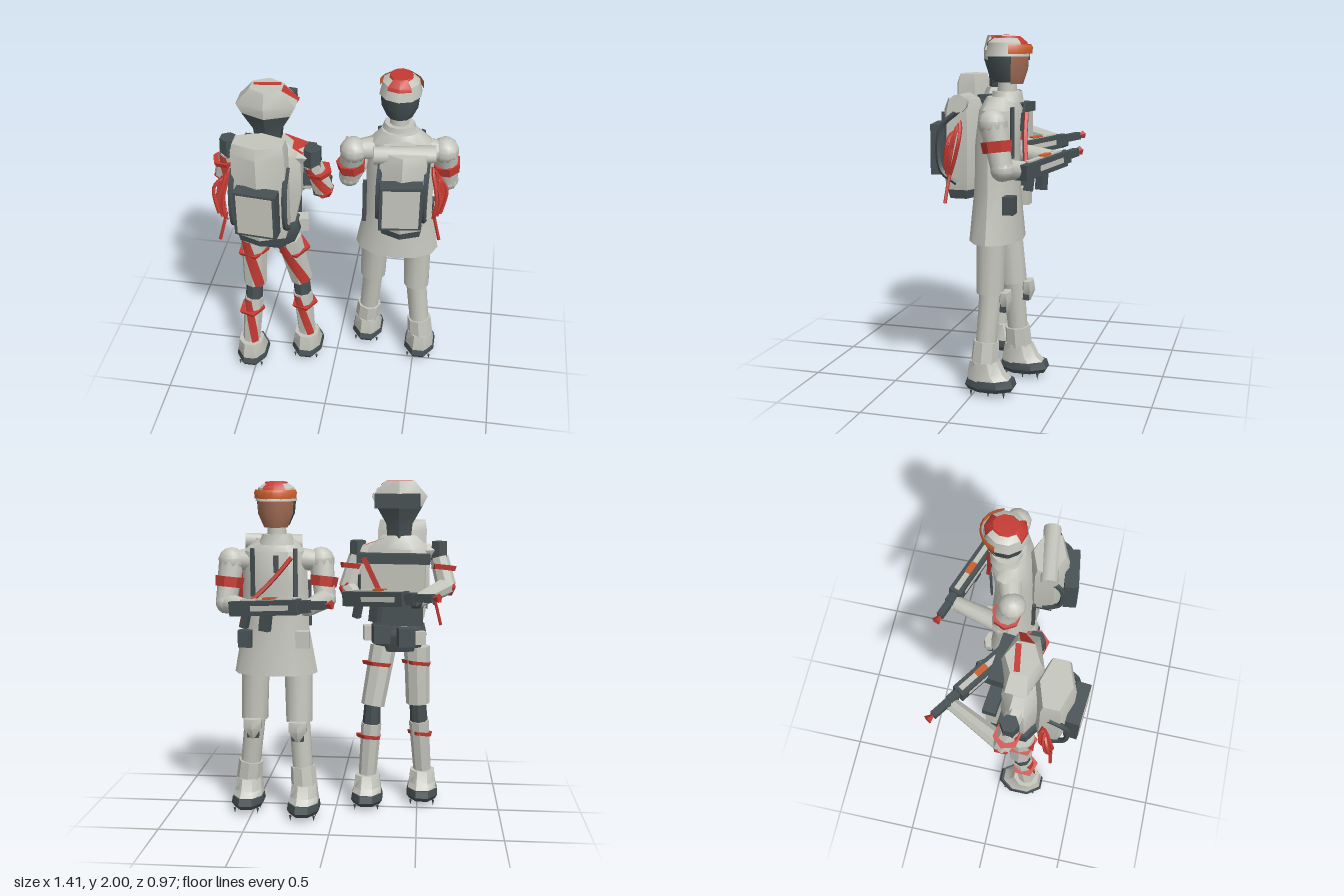
import * as THREE from 'three';
import { toCreasedNormals } from 'three/addons/utils/BufferGeometryUtils.js';

const mat = (name, color, side = THREE.FrontSide) => {
  const m = new THREE.MeshStandardMaterial({ color, side });
  m.name = name;
  return m;
};

export function createModel() {
  const light = mat('pale cloth', 0xc4c5bc), dark = mat('dark slate', 0x465053);
  const red = mat('red trim', 0xc43b33, THREE.DoubleSide);
  const orange = mat('orange lens', 0xcb6030, THREE.DoubleSide), skin = mat('skin', 0xa66e57, THREE.DoubleSide);
  const V = (p) => new THREE.Vector3(...p);

  const add = (parent, name, geo, material, pos = [0, 0, 0], rot = [0, 0, 0]) => {
    const m = new THREE.Mesh(toCreasedNormals(geo, 0.7), material);
    m.name = name;
    m.position.set(...pos);
    m.rotation.set(...rot);
    parent.add(m);
    return m;
  };
  const box = (parent, name, material, size, pos, rot) =>
    add(parent, name, new THREE.BoxGeometry(...size), material, pos, rot);

  // Stacked rings from top to bottom: [y, radiusX, radiusZ, shiftX, shiftZ]
  const loft = (parent, name, material, rings, sides, [cx, cz], start = 0, span = Math.PI * 2) => {
    const n = rings.length - 1;
    const g = new THREE.CylinderGeometry(1, 1, 1, sides, n, span < 6, start, span);
    const p = g.attributes.position;
    for (let i = 0; i < p.count; i++) {
      const [y, rx, rz, dx = 0, dz = 0] = rings[Math.round((0.5 - p.getY(i)) * n)];
      p.setXYZ(i, p.getX(i) * rx + cx + dx, y, p.getZ(i) * rz + cz + dz);
    }
    return add(parent, name, g, material);
  };

  // Tapered cylinder running from top point a to bottom point b, with an optional winding stripe
  const limb = (parent, name, material, a, b, ra, rb, sides = 10, stripe = false) => {
    const A = V(a), B = V(b), h = A.distanceTo(B);
    const place = (m) => {
      m.position.copy(A).add(B).multiplyScalar(0.5);
      m.quaternion.setFromUnitVectors(new THREE.Vector3(0, 1, 0), A.clone().sub(B).normalize());
    };
    place(add(parent, name, new THREE.CylinderGeometry(ra, rb, h, sides), material));
    if (!stripe) return;
    const g = new THREE.CylinderGeometry(ra + 0.004, rb + 0.004, h * 0.96, 3, 6, true, -0.35, 0.85);
    const p = g.attributes.position;
    for (let i = 0; i < p.count; i++) {
      const t = -p.getY(i) / h * 1.2, x = p.getX(i), z = p.getZ(i);
      p.setX(i, x * Math.cos(t) + z * Math.sin(t));
      p.setZ(i, z * Math.cos(t) - x * Math.sin(t));
    }
    place(add(parent, name + 'Stripe', g, red));
  };
  const tube = (parent, name, material, pts, r, closed = false) =>
    add(parent, name, new THREE.TubeGeometry(new THREE.CatmullRomCurve3(pts.map(V), closed), 18, r, 5, closed), material);
  const quad = (parent, name, material, pts) => {
    const g = new THREE.BufferGeometry().setFromPoints([0, 1, 2, 0, 2, 3].map((i) => V(pts[i])));
    g.computeVertexNormals();
    return add(parent, name, g, material);
  };
  // Faceted strap ring around a limb
  const band = (parent, name, pos, r, h, sides = 6, tilt = 0.1) =>
    add(parent, name, new THREE.CylinderGeometry(r, r * 0.92, h, sides), red, pos, [tilt, 0.3, tilt]);

  // Boot with dark sole and small spikes, toe toward -z
  const boot = (parent, x, z) => {
    const g = new THREE.Group();
    g.name = 'boot';
    parent.add(g);
    loft(g, 'bootUpper', light, [[0.2, 0.08, 0.085], [0.13, 0.088, 0.11, 0, -0.01], [0.085, 0.098, 0.14, 0, -0.035]], 8, [x, z], Math.PI / 8);
    loft(g, 'sole', dark, [[0.1, 0.097, 0.138, 0, -0.035], [0.06, 0.104, 0.152, 0, -0.035], [0.035, 0.088, 0.135, 0, -0.035]], 8, [x, z], Math.PI / 8);
    for (const sx of [-1, 1]) for (const dz of [-0.13, -0.04, 0.06])
      add(g, 'spike', new THREE.ConeGeometry(0.008, 0.035, 4), dark, [x + sx * 0.07, 0.022, z + dz], [Math.PI, 0, 0]);
  };

  // Rifle running from stock to muzzle
  const rifle = (parent, stock, tip) => {
    const g = new THREE.Group();
    g.name = 'rifle';
    const L = V(stock).distanceTo(V(tip));
    box(g, 'receiver', dark, [0.08, 0.085, 0.43], [0, 0, 0.205]);
    box(g, 'topCover', light, [0.03, 0.012, 0.34], [0, 0.045, 0.23]);
    box(g, 'handguard', light, [0.086, 0.03, 0.24], [0, 0, 0.25]);
    box(g, 'magazine', dark, [0.045, 0.11, 0.06], [0, -0.08, 0.2], [0.2, 0, 0]);
    box(g, 'grip', dark, [0.04, 0.09, 0.04], [0, -0.07, 0.07], [0.3, 0, 0]);
    box(g, 'sight', orange, [0.035, 0.012, 0.08], [0, 0.052, 0.24]);
    box(g, 'barrel', dark, [0.04, 0.045, L - 0.44], [0, 0.005, (L + 0.36) / 2]);
    box(g, 'barrelBlock', dark, [0.05, 0.07, 0.05], [0, 0, 0.46]);
    add(g, 'muzzle', new THREE.ConeGeometry(0.028, 0.06, 5), red, [0, 0.005, L - 0.03], [-Math.PI / 2, 0, 0]);
    g.position.set(...stock);
    g.lookAt(V(tip));
    parent.add(g);
  };

  // Six-sided pack with framed pocket, side straps and a coil of rope
  const backpack = (parent, x, z, top, w, d, ropeSide, yaw) => {
    const g = new THREE.Group();
    g.name = 'backpack';
    parent.add(g);
    loft(g, 'packBody', light, [[top, w * 0.93, d * 0.8], [top - 0.06, w, d], [1.2, w, d], [1.16, w * 0.95, d * 0.95]], 6, [x, z]);
    loft(g, 'packBase', dark, [[1.17, w * 0.94, d * 0.92], [1.11, w * 0.85, d * 0.8]], 6, [x, z]);
    const p = new THREE.Group();
    p.name = 'pocket';
    p.position.set(x, 1.38, z + d + 0.02);
    p.rotation.y = yaw;
    g.add(p);
    box(p, 'pocketSides', dark, [0.24, 0.28, 0.08], [0, 0, 0]);
    box(p, 'pocketFace', light, [0.205, 0.25, 0.009], [0, 0, 0.039]);
    for (const s of [-1, 1]) {
      const X = x + s * w * 0.87;
      tube(g, 'packStrap', dark, [[X, 1.6, z - 0.01], [X, 1.5, z + d * 0.8], [X, 1.27, z + d * 0.8], [X, 1.2, z]], 0.016);
    }
    for (let i = 0; i < 3; i++) {
      const X = x + ropeSide * (w + 0.01 + i * 0.02), k = 0.025 * i;
      tube(g, 'ropeCoil', red, [[X, 1.54 - k, z - 0.03 + k * 0.5], [X + 0.045 * ropeSide, 1.44, z - 0.035 + k],
        [X + 0.02 * ropeSide, 1.23 + k, z + 0.035], [X + 0.035 * ropeSide, 1.36, z + 0.03 - k * 0.5]], 0.011, true);
    }
    tube(g, 'ropeEnd', red, [[x + ropeSide * (w + 0.03), 1.28, z + 0.02], [x + ropeSide * (w + 0.05), 1.2, z + 0.03], [x + ropeSide * (w + 0.075), 1.1, z + 0.04]], 0.01);
  };

  // ---------- Masked soldier ----------
  const masked = new THREE.Group();
  masked.name = 'maskedSoldier';
  const ax = -0.37, a = [ax, 0.105];
  loft(masked, 'hood', light, [[2, 0.1, 0.09], [1.91, 0.19, 0.115], [1.85, 0.155, 0.112]], 6, a);
  loft(masked, 'mask', dark, [[1.852, 0.156, 0.113], [1.75, 0.09, 0.08], [1.66, 0.08, 0.075]], 6, a);
  box(masked, 'visor', dark, [0.26, 0.085, 0.085], [ax + 0.01, 1.885, 0.005], [0, -0.1, 0]);
  box(masked, 'hoodStripe', red, [0.15, 0.006, 0.03], [ax, 1.998, 0.08], [0, 0.15, 0]);
  quad(masked, 'hoodPatch', red, [[ax + 0.09, 2, 0.15], [ax + 0.09, 2, 0.075], [ax + 0.17, 1.91, 0.05], [ax + 0.17, 1.91, 0.085]]);
  loft(masked, 'torso', light, [[1.68, 0.11, 0.08], [1.6, 0.2, 0.11], [1.35, 0.2, 0.12], [1.12, 0.15, 0.1]], 8, [ax, 0.11], Math.PI / 8);
  loft(masked, 'hips', dark, [[1.14, 0.17, 0.115], [1.08, 0.185, 0.125], [0.98, 0.14, 0.1]], 8, [ax, 0.12], Math.PI / 8);
  // Chest panel and diagonal strap
  box(masked, 'chestFrame', dark, [0.43, 0.06, 0.075], [-0.34, 1.55, -0.015], [0, -0.1, 0]);
  box(masked, 'chestPanel', light, [0.38, 0.25, 0.06], [-0.34, 1.42, -0.015], [0, -0.1, 0]);
  box(masked, 'chestStrap', red, [0.03, 0.3, 0.008], [-0.23, 1.42, -0.042], [0, -0.1, -0.45]);
  box(masked, 'bellyRig', dark, [0.3, 0.14, 0.08], [ax, 1.22, 0.0]);
  quad(masked, 'shoulderPatch', red, [[-0.29, 1.67, 0.04], [-0.3, 1.67, 0.12], [-0.17, 1.62, 0.17], [-0.16, 1.62, 0.03]]);
  for (const [x, y, z, m, s] of [[-0.2, 1.09, 0.08, light, 0.08], [-0.27, 1.1, -0.02, dark, 0.1], [-0.42, 1.08, -0.02, dark, 0.1],
    [-0.5, 1.07, 0.03, light, 0.07], [-0.17, 1.4, 0.05, dark, 0.08]])
    box(masked, 'beltPouch', m, [s, s * 1.1, s * 0.9], [x, y, z], [0, 0.2, 0]);
  // Legs
  for (const [hip, knee, ankle] of [[[-0.485, 1, 0.13], [-0.495, 0.64, 0.13], [-0.53, 0.19, 0.18]],
    [[-0.28, 1, 0.11], [-0.22, 0.64, 0.05], [-0.19, 0.19, 0.055]]]) {
    limb(masked, 'thigh', light, hip, knee, 0.08, 0.072, 8, true);
    const shin = knee.map((v, i) => v + (ankle[i] - v) * 0.25);
    limb(masked, 'kneeSleeve', dark, knee.map((v, i) => v + (i === 1 ? 0.02 : 0)), shin, 0.05, 0.055, 8);
    limb(masked, 'shin', light, shin, ankle, 0.062, 0.055, 8, true);
    band(masked, 'thighStrap', [(hip[0] + knee[0]) / 2, 0.895, (hip[2] + knee[2]) / 2], 0.1, 0.022, 5);
    band(masked, 'shinStrap', [(shin[0] + ankle[0]) / 2, 0.44, (shin[2] + ankle[2]) / 2], 0.085, 0.022, 5);
    boot(masked, ankle[0], ankle[2]);
  }
  // Arms
  for (const [sh, el, hand] of [[[-0.61, 1.59, 0.09], [-0.655, 1.38, 0.06], [-0.48, 1.33, -0.27]],
    [[-0.12, 1.59, 0.13], [-0.065, 1.36, 0.1], [-0.13, 1.31, -0.02]]]) {
    add(masked, 'shoulderCap', new THREE.CylinderGeometry(0.052, 0.055, 0.11, 6), dark, sh);
    limb(masked, 'upperArm', light, [sh[0], 1.55, sh[2]], el, 0.055, 0.06, 8, true);
    add(masked, 'elbow', new THREE.IcosahedronGeometry(0.066, 0), red, el);
    limb(masked, 'forearm', light, el, hand, 0.055, 0.04, 8);
    add(masked, 'glove', new THREE.IcosahedronGeometry(0.045, 0), dark, hand);
    band(masked, 'armStrap', [(sh[0] * 0.4 + el[0] * 0.6), 1.49, sh[2] - 0.01], 0.078, 0.03);
    limb(masked, 'shoulderLink', light, [ax + (sh[0] - ax) * 0.5, 1.58, 0.11], sh, 0.06, 0.04, 6);
  }
  rifle(masked, [-0.07, 1.31, -0.02], [-0.61, 1.36, -0.375]);
  backpack(masked, -0.385, 0.29, 1.76, 0.172, 0.11, -1, -0.09);

  // ---------- Soldier in the long coat ----------
  const coated = new THREE.Group();
  coated.name = 'coatedSoldier';
  const bx = 0.335, b = [bx, -0.135];
  loft(coated, 'helmet', light, [[1.995, 0.06, 0.07], [1.965, 0.105, 0.11], [1.89, 0.122, 0.127]], 10, b);
  // Red panel over the crown, front and back
  loft(coated, 'crownPatch', red, [[2, 0.062, 0.072], [1.99, 0.068, 0.078]], 10, b);
  for (const mid of [0, Math.PI])
    loft(coated, 'helmetPatch', red, [[1.999, 0.063, 0.073], [1.966, 0.109, 0.114], [1.945, 0.114, 0.119]], 2, b, mid - Math.PI / 5, Math.PI * 0.4);
  loft(coated, 'headBack', dark, [[1.9, 0.115, 0.115], [1.82, 0.108, 0.108], [1.75, 0.075, 0.08]], 10, b);
  loft(coated, 'face', skin, [[1.93, 0.117, 0.12], [1.82, 0.111, 0.116], [1.74, 0.075, 0.09]], 6, b, Math.PI - 1.15, 2.3);
  loft(coated, 'goggles', orange, [[1.955, 0.122, 0.132], [1.94, 0.128, 0.142], [1.905, 0.127, 0.139]], 8, b, Math.PI - 1.3, 2.6);
  loft(coated, 'neck', light, [[1.78, 0.052, 0.052], [1.64, 0.06, 0.06]], 10, b);
  loft(coated, 'collar', light, [[1.7, 0.085, 0.085], [1.64, 0.11, 0.095]], 10, b);
  loft(coated, 'coat', light, [[1.67, 0.11, 0.08, -0.01, -0.02], [1.6, 0.185, 0.115, 0, -0.02], [1.4, 0.195, 0.12], [1.15, 0.2, 0.125], [0.87, 0.25, 0.15]], 12, [0.355, -0.085]);
  // Chest rigging, belt gear and hanging strap
  for (const x of [0.22, 0.47]) box(coated, 'chestStrap', dark, [0.025, 0.28, 0.012], [x, 1.48, -0.2], [0, x < 0.3 ? 0.4 : -0.4, 0]);
  box(coated, 'chestBuckle', dark, [0.03, 0.1, 0.012], [0.33, 1.53, -0.218]);
  box(coated, 'hangingStrap', dark, [0.022, 0.28, 0.02], [0.168, 1.27, 0.06]);
  tube(coated, 'sling', red, [[0.24, 1.57, -0.22], [0.34, 1.45, -0.24], [0.48, 1.31, -0.28]], 0.014);
  for (const [x, m] of [[0.52, dark], [0.18, light]])
    box(coated, 'beltPouch', m, [0.08, 0.1, 0.06], [x, 1.09, -0.2]);
  // Legs
  for (const [hip, knee, ankle] of [[[0.22, 0.95, -0.1], [0.21, 0.58, -0.14], [0.18, 0.19, -0.165]],
    [[0.48, 0.95, -0.08], [0.49, 0.58, -0.08], [0.535, 0.19, -0.06]]]) {
    limb(coated, 'thigh', light, hip, knee, 0.085, 0.08);
    limb(coated, 'shin', light, knee, ankle, 0.064, 0.06);
    limb(coated, 'cuff', light, knee.map((v, i) => v + (ankle[i] - v) * 0.7), ankle, 0.075, 0.08, 8);
    box(coated, 'kneePad', dark, [0.07, 0.1, 0.035], [knee[0], 0.53, knee[2] - 0.085], [-0.1, 0, 0]);
    loft(coated, 'kneePlate', light, [[0.595, 0.06, 0.03], [0.54, 0.06, 0.04], [0.475, 0.012, 0.012]], 6, [knee[0], knee[2] - 0.09]);
    boot(coated, ankle[0], ankle[2]);
  }
  // Arms
  for (const [sh, el, hand] of [[[0.085, 1.54, -0.05], [0.055, 1.32, -0.11], [0.13, 1.3, -0.39]],
    [[0.605, 1.54, -0.13], [0.63, 1.3, -0.19], [0.46, 1.28, -0.3]]]) {
    add(coated, 'shoulder', new THREE.SphereGeometry(0.08, 10, 7), light, sh);
    limb(coated, 'shoulderLink', light, [0.355 + (sh[0] - 0.355) * 0.4, 1.55, -0.1], sh, 0.075, 0.055, 10);
    limb(coated, 'upperArm', light, sh, el, 0.075, 0.062, 10);
    add(coated, 'elbow', new THREE.SphereGeometry(0.065, 10, 7), light, el);
    limb(coated, 'forearm', light, el, hand, 0.06, 0.045, 10);
    add(coated, 'glove', new THREE.IcosahedronGeometry(0.047, 0), light, hand);
    band(coated, 'armBand', [(sh[0] + el[0]) / 2, 1.42, (sh[2] + el[2]) / 2], 0.088, 0.06, 7);
  }
  rifle(coated, [0.57, 1.28, -0.28], [-0.02, 1.33, -0.475]);
  backpack(coated, 0.39, 0.1, 1.66, 0.15, 0.115, 1, 0.15);
  limb(coated, 'bedroll', light, [0.22, 1.63, 0.13], [0.56, 1.64, 0.08], 0.05, 0.05);

  const root = new THREE.Group();
  root.name = 'soldierPair';
  root.add(masked, coated);
  return root;
}
